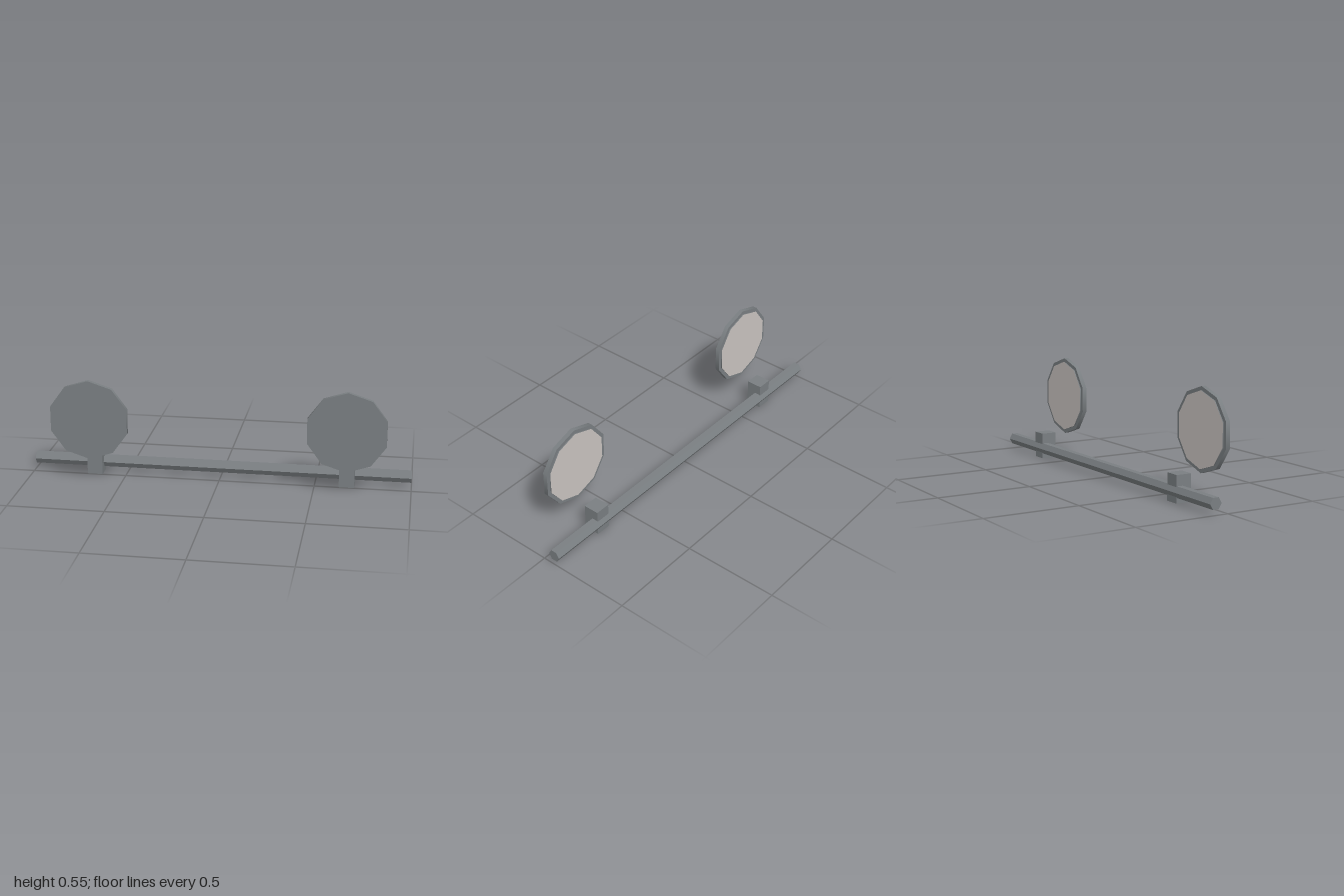
import * as THREE from 'three';

export function createModel() {
  const model = new THREE.Group();
  const metal = new THREE.MeshStandardMaterial({ color: 0x7a7f82 });
  metal.name = 'grey metal';
  const pale = new THREE.MeshStandardMaterial({ color: 0xcac4c1 });
  pale.name = 'pale glass';

  const add = (parent, name, geometry, material, x, y, z) => {
    const mesh = new THREE.Mesh(geometry, material);
    mesh.name = name;
    mesh.position.set(x, y, z);
    parent.add(mesh);
  };

  // Hexagonal crossbar with flat faces
  const bar = new THREE.CylinderGeometry(0.0325, 0.0325, 2, 6).rotateZ(Math.PI / 2).toNonIndexed();
  bar.computeVertexNormals();
  add(model, 'crossbar', bar, metal, 0, 0.056, -0.0675);

  // Ten-sided discs facing the front, with a stepped back and a pale back face
  const housing = new THREE.CylinderGeometry(0.212, 0.212, 0.023, 10).rotateX(Math.PI / 2);
  const lens = new THREE.CylinderGeometry(0.192, 0.192, 0.005, 10).rotateX(Math.PI / 2);
  const block = new THREE.BoxGeometry(0.08, 0.139, 0.083);

  for (const [side, name] of [[1, 'left'], [-1, 'right']]) {
    const lamp = new THREE.Group();
    lamp.name = name + 'Lamp';
    lamp.position.x = side * 0.667;
    add(lamp, 'bracket', block, metal, 0, 0.0695, -0.0445);
    add(lamp, 'housing', housing, metal, 0, 0.335, 0.0915);
    add(lamp, 'lens', lens, [metal, metal, pale], 0, 0.335, 0.0775);
    model.add(lamp);
  }
  return model;
}
